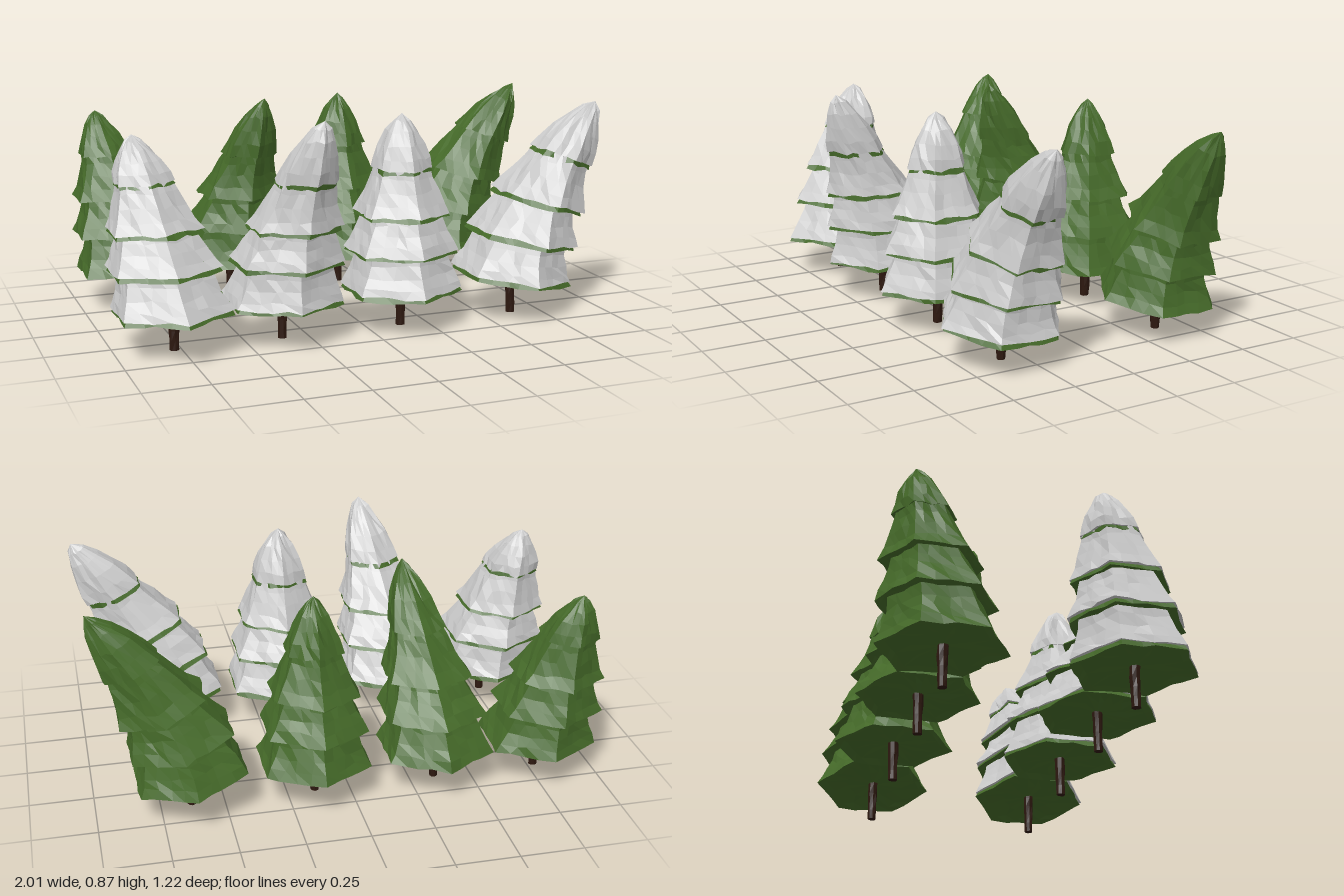
import * as THREE from 'three';

const greenMat = new THREE.MeshStandardMaterial({ color: 0x456a29, flatShading: true });
const snowMat = new THREE.MeshStandardMaterial({ color: 0xcccccc, flatShading: true });
const barkMat = new THREE.MeshStandardMaterial({ color: 0x2e1910, flatShading: true });

const SEGS = 24;
const BASE = 0.15, TOP = 0.84;

// Tier profiles as [distance to the flat side, height], from rim to top
const TIERS = [
  [[0.208, 0.145], [0.19, 0.18], [0.172, 0.22], [0.157, 0.265], [0.145, 0.32]],
  [[0.193, 0.3], [0.172, 0.34], [0.151, 0.38], [0.134, 0.42], [0.12, 0.465]],
  [[0.163, 0.445], [0.138, 0.49], [0.118, 0.54], [0.1, 0.59], [0.086, 0.64]],
  [[0.104, 0.618], [0.09, 0.665], [0.071, 0.715], [0.048, 0.765], [0.022, 0.805], [0, 0.832]],
];

// Position, lean vector, bend exponent, rim tilt and tip height of each kind of tree
const KINDS = [
  { x: -0.777, lean: [-0.11, -0.13], bend: 1, tilt: 0.06, tip: 0.8 },
  { x: -0.352, lean: [0.09, 0.235], bend: 1.5, tilt: 0, tip: 0.868 },
  { x: 0.14, lean: [0, 0], bend: 1, tilt: 0, tip: 0.842 },
  { x: 0.627, lean: [0.365, 0], bend: 1.5, tilt: 0.36, tip: 0.845 },
];

// Repeatable noise in -1..1
function noise(a, b, c) {
  const s = Math.sin(a * 127.1 + b * 311.7 + c * 74.7) * 43758.5453;
  return (s - Math.floor(s)) * 2 - 1;
}

// Six-sided ragged skirt, bent along the lean of the tree
function skirt(profile, kind, seed, firstRagged) {
  const points = profile.map(([r, y]) => new THREE.Vector2(r, y));
  const geo = new THREE.LatheGeometry(points, SEGS);
  const pos = geo.attributes.position;
  const n = points.length;
  const leanLength = Math.hypot(...kind.lean);
  const dir = leanLength ? kind.lean.map((v) => v / leanLength) : [0, 0];
  const tipStart = TIERS[3][0][1];

  for (let k = 0; k < pos.count; k++) {
    const i = Math.floor(k / n) % SEGS, j = k % n;
    const [a, h] = profile[j];
    const jitter = a > 0.001 && j >= firstRagged ? 1 : 0;
    const angle = ((i + 0.28 * jitter * (i % 4 ? noise(i, j, seed) : 0)) / SEGS) * Math.PI * 2;
    const sixth = Math.PI / 3;
    const within = ((angle % sixth) + sixth) % sixth - sixth / 2;
    const r = a / Math.cos(within) + jitter * 0.0045 * noise(i, j, seed + 5);
    const x = r * Math.sin(angle), z = r * Math.cos(angle);

    let y = h + jitter * 0.006 * noise(i, j, seed + 9);
    if (y > tipStart) y = tipStart + (y - tipStart) * (kind.tip - tipStart) / (TOP - tipStart);
    const t = Math.max(0, Math.min(1, (h - BASE) / (TOP - BASE)));
    const shift = Math.pow(t, kind.bend);
    y -= kind.tilt * (0.4 + 0.9 * t) * (x * dir[0] + z * dir[1]);
    pos.setXYZ(k, x + kind.lean[0] * shift, y, z + kind.lean[1] * shift);
  }
  geo.computeVertexNormals();
  return geo;
}

function trunk(seed) {
  const geo = new THREE.CylinderGeometry(0.021, 0.017, 0.19, 8, 5);
  const pos = geo.attributes.position;
  geo.translate(0, 0.095, 0);
  for (let k = 0; k < pos.count; k++) {
    const x = pos.getX(k), y = pos.getY(k), z = pos.getZ(k);
    const s = 1 + 0.14 * noise(Math.round(x * 300), Math.round(y * 100), Math.round(z * 300) + seed);
    pos.setXYZ(k, x * s, y, z * s);
  }
  geo.computeVertexNormals();
  return new THREE.Mesh(geo, barkMat);
}

function makeTree(kind, snowy, seed) {
  const tree = new THREE.Group();
  tree.name = snowy ? 'snowyTree' : 'greenTree';
  const stem = trunk(seed);
  stem.name = 'trunk';
  tree.add(stem);

  TIERS.forEach((tier, index) => {
    const [rimR, rimY] = tier[0];
    // Needle tier with a shallow hollow underside
    const under = [[0, rimY + 0.014], [rimR * 0.5, rimY + 0.012], [rimR * 0.85, rimY + 0.008]];
    const branches = new THREE.Mesh(skirt([...under, ...tier], kind, seed + index * 20, 1), greenMat);
    branches.name = 'branchTier' + (index + 1);
    tree.add(branches);

    // Snow shell that leaves a thin green rim showing below
    if (snowy) {
      const shell = tier.map(([r, y], j) => [
        r === 0 ? 0 : r + (j ? 0.007 : 0.002),
        y + (j ? 0.01 : 0.016),
      ]);
      const lip = [rimR * 0.9, rimY + 0.018];
      const snow = new THREE.Mesh(skirt([lip, ...shell], kind, seed + index * 20 - 0, 1), snowMat);
      snow.name = 'snowTier' + (index + 1);
      tree.add(snow);
    }
  });
  return tree;
}

export function createModel() {
  const model = new THREE.Group();
  model.name = 'treeSet';
  [[0.33, true], [-0.37, false]].forEach(([z, snowy]) => {
    KINDS.forEach((kind, k) => {
      const tree = makeTree(kind, snowy, 3 + k * 101);
      tree.position.set(kind.x, 0, z);
      model.add(tree);
    });
  });
  return model;
}
